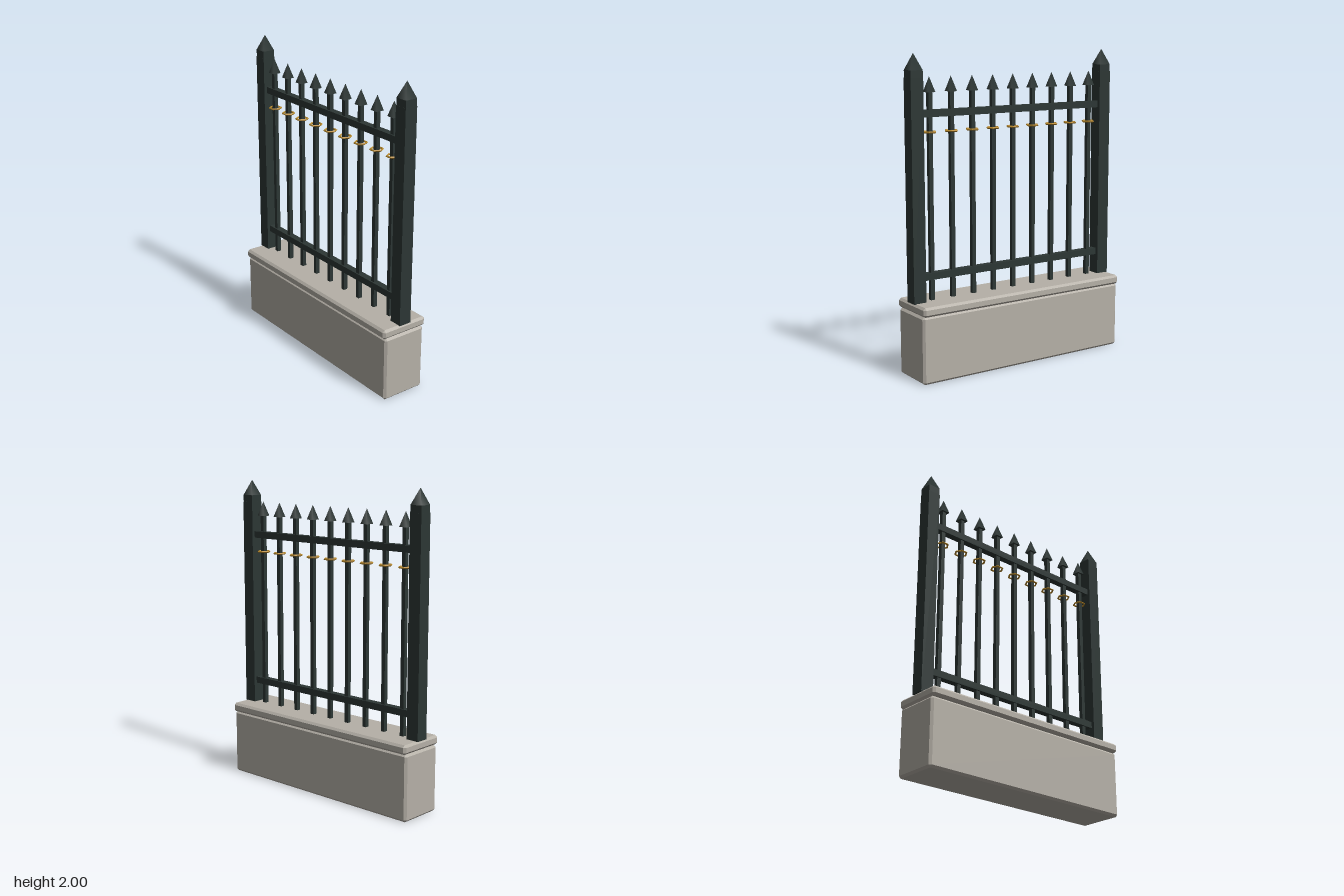
import * as THREE from 'three';
import { ConvexGeometry } from 'three/addons/geometries/ConvexGeometry.js';

const material = (name, color) => {
  const m = new THREE.MeshStandardMaterial({ color });
  m.name = name;
  return m;
};

// Box with every edge chamfered by c
function chamferBox(w, h, d, c) {
  const pts = [];
  for (const sx of [-1, 1]) for (const sy of [-1, 1]) for (const sz of [-1, 1]) {
    const x = w / 2, y = h / 2, z = d / 2;
    pts.push(
      new THREE.Vector3(sx * x, sy * (y - c), sz * (z - c)),
      new THREE.Vector3(sx * (x - c), sy * y, sz * (z - c)),
      new THREE.Vector3(sx * (x - c), sy * (y - c), sz * z));
  }
  return new ConvexGeometry(pts);
}

// Square pyramid with its base at y = 0
function pyramid(width, height) {
  const g = new THREE.ConeGeometry(width / Math.SQRT2, height, 4);
  return g.rotateY(Math.PI / 4).translate(0, height / 2, 0);
}

export function createModel() {
  const fence = new THREE.Group();
  fence.name = 'fence';
  const stone = material('stone', 0xb5b0a7);
  const iron = material('dark iron', 0x2c3634);
  const gold = material('gold', 0xb5872a);

  const add = (parent, name, geometry, mat, x, y, z = 0) => {
    const mesh = new THREE.Mesh(geometry, mat);
    mesh.name = name;
    mesh.position.set(x, y, z);
    parent.add(mesh);
    return mesh;
  };

  // Stone wall and coping
  add(fence, 'wall', chamferBox(1.51, 0.427, 0.302, 0.014), stone, 0, 0.2135);
  add(fence, 'coping', chamferBox(1.51, 0.06, 0.33, 0.014), stone, 0, 0.457);

  // End posts with pointed caps
  for (const side of [-1, 1]) {
    const post = new THREE.Group();
    post.name = side > 0 ? 'leftPost' : 'rightPost';
    post.position.x = side * 0.712;
    add(post, 'postShaft', new THREE.BoxGeometry(0.085, 1.37, 0.085), iron, 0, 1.17);
    add(post, 'postNeck', new THREE.BoxGeometry(0.082, 0.045, 0.082), iron, 0, 1.8775);
    add(post, 'postPoint', pyramid(0.082, 0.1), iron, 0, 1.9);
    fence.add(post);
  }

  // Horizontal rails
  const rail = new THREE.BoxGeometry(1.36, 0.043, 0.046);
  add(fence, 'lowerRail', rail, iron, 0, 0.639);
  add(fence, 'upperRail', rail, iron, 0, 1.639);

  // Pickets with spear tips and gold collars
  const shaft = new THREE.BoxGeometry(0.027, 1.295, 0.027);
  const tip = pyramid(0.055, 0.094);
  const ring = new THREE.TorusGeometry(0.0385, 0.0065, 4, 6).rotateX(Math.PI / 2).toNonIndexed();
  ring.computeVertexNormals();
  for (let i = -4; i <= 4; i++) {
    const picket = new THREE.Group();
    picket.name = 'picket';
    picket.position.x = i * 0.1515;
    add(picket, 'picketShaft', shaft, iron, 0, 1.1275);
    add(picket, 'spearTip', tip, iron, 0, 1.766);
    add(picket, 'collar', ring, gold, 0, 1.527);
    fence.add(picket);
  }
  return fence;
}
